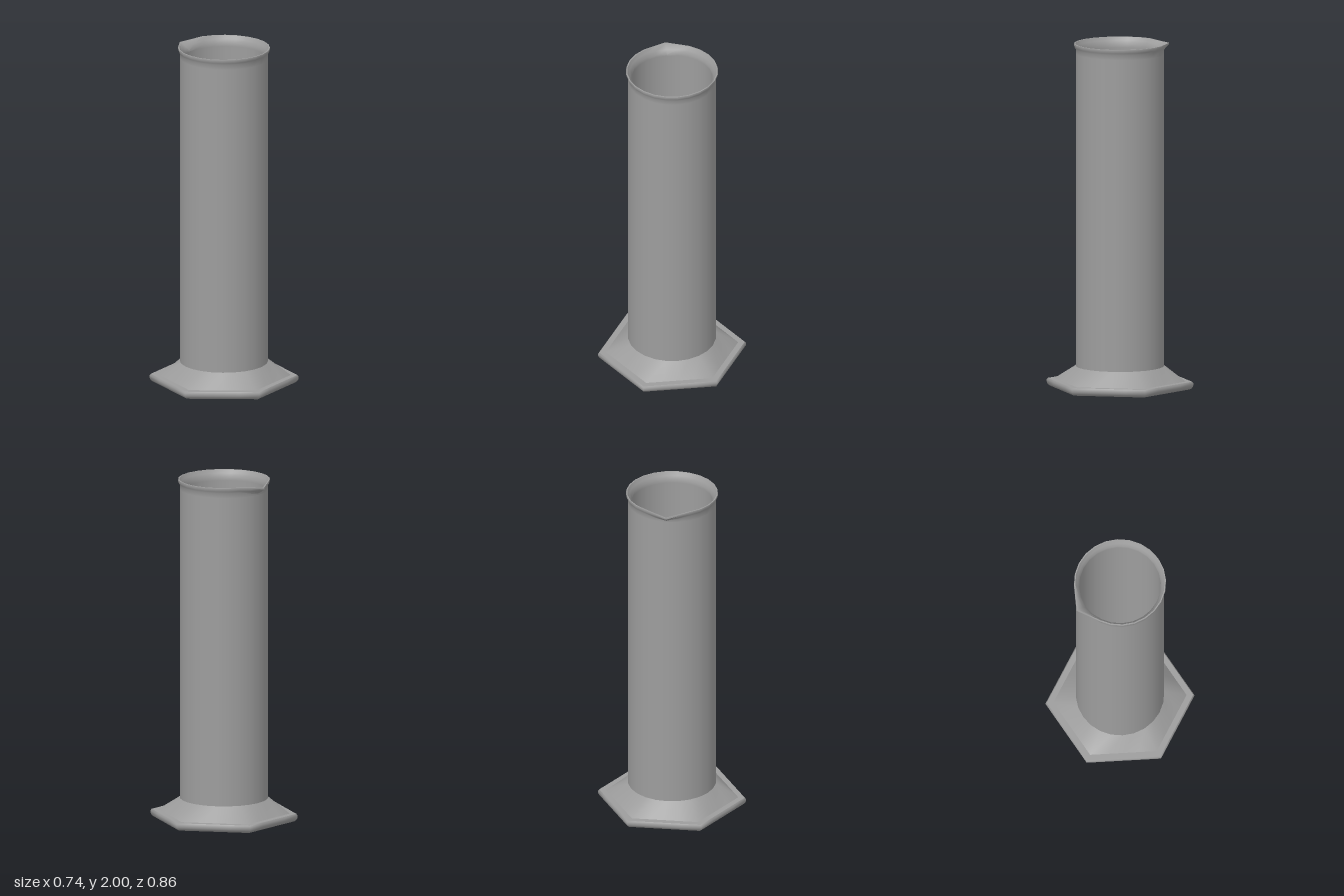
import * as THREE from 'three';
import { toCreasedNormals } from 'three/addons/utils/BufferGeometryUtils.js';

const SEG = 24;
const RADIUS = 0.254, INNER = 0.235;
const FLOOR = 0.13, LIP = 1.94;
const material = new THREE.MeshStandardMaterial({ color: 0x9d9d9d });

// Cross-section radii as functions of the angle round the vertical axis
const circle = r => () => r;
const hexagon = corner => a => {
  const sector = Math.PI / 3;
  const local = (((a % sector) + sector) % sector) - sector / 2;
  // corners on the z axis, flats on the x axis
  return corner * Math.cos(Math.PI / 6) / Math.cos(Math.abs(Math.abs(local) - Math.PI / 6));
};
// Angular distance from the spout direction (-x)
const fromSpout = a => Math.abs(Math.atan2(Math.sin(a - Math.PI), Math.cos(a - Math.PI)));
// Circle with two tangents meeting at a pouring tip
const spouted = (r, tip) => a => {
  const reach = Math.acos(r / tip);
  const d = fromSpout(a);
  return d < reach ? r / Math.cos(reach - d) : r;
};
// Height that dips at the spout
const dipped = (y, dip) => a => y - dip * Math.max(0, 1 - fromSpout(a) / 0.5);

// Skin a list of [radius function, height or height function] rings
function loft(rings, crease) {
  const position = [], index = [];
  for (const [radius, height] of rings) {
    for (let j = 0; j < SEG; j++) {
      const a = j / SEG * Math.PI * 2, r = radius(a);
      const y = typeof height === 'function' ? height(a) : height;
      position.push(r * Math.cos(a), y, r * Math.sin(a));
    }
  }
  for (let i = 0; i < rings.length - 1; i++) {
    for (let j = 0; j < SEG; j++) {
      const k = (j + 1) % SEG;
      const p = i * SEG + j, q = i * SEG + k, up = p + SEG, upQ = q + SEG;
      if (rings[i][0](0) > 0) index.push(p, up, q);
      if (rings[i + 1][0](0) > 0) index.push(q, up, upQ);
    }
  }
  const geometry = new THREE.BufferGeometry();
  geometry.setAttribute('position', new THREE.Float32BufferAttribute(position, 3));
  geometry.setIndex(index);
  return toCreasedNormals(geometry, crease);
}

function part(name, geometry) {
  const mesh = new THREE.Mesh(geometry, material);
  mesh.name = name;
  return mesh;
}

// Upright wall with radial normals; points running downwards face inwards
const wall = (r, from, to) => new THREE.LatheGeometry(
  [new THREE.Vector2(r, from), new THREE.Vector2(r, to)], SEG);

export function createModel() {
  const model = new THREE.Group();
  model.name = 'measuringCylinder';

  // Hexagonal foot: underside and softly rounded rim
  model.add(part('footRim', loft([
    [circle(0), 0], [hexagon(0.395), 0], [hexagon(0.408), 0.002],
    [hexagon(0.42), 0.01], [hexagon(0.427), 0.022],
    [hexagon(0.428), 0.038], [hexagon(0.421), 0.047],
  ], 1.3)));

  // Flat border on top of the foot
  model.add(part('footBorder', loft([
    [hexagon(0.421), 0.047], [hexagon(0.383), 0.047],
  ], 0.5)));

  // Shoulder blending from hexagon to round tube
  model.add(part('footShoulder', loft([
    [hexagon(0.383), 0.047], [circle(RADIUS), FLOOR],
  ], 1.2)));

  // Tube walls and floor
  model.add(part('tubeOuterWall', wall(RADIUS, FLOOR, LIP)));
  model.add(part('tubeInnerWall', wall(INNER, LIP, FLOOR)));
  model.add(part('tubeFloor', loft([
    [circle(INNER), FLOOR], [circle(0), FLOOR],
  ], 0.5)));

  // Flared lip with a pouring spout
  model.add(part('lip', loft([
    [circle(RADIUS), LIP],
    [circle(RADIUS), dipped(1.968, 0.02)],
    [spouted(0.26, 0.277), dipped(1.978, 0.018)],
    [spouted(0.265, 0.3), dipped(1.993, 0.014)],
    [spouted(0.264, 0.298), dipped(2, 0.012)],
    [spouted(0.257, 0.291), dipped(2, 0.012)],
    [spouted(0.246, 0.258), dipped(1.98, 0.014)],
    [circle(INNER), dipped(1.96, 0.015)],
    [circle(INNER), LIP],
  ], 0.9)));

  return model;
}
